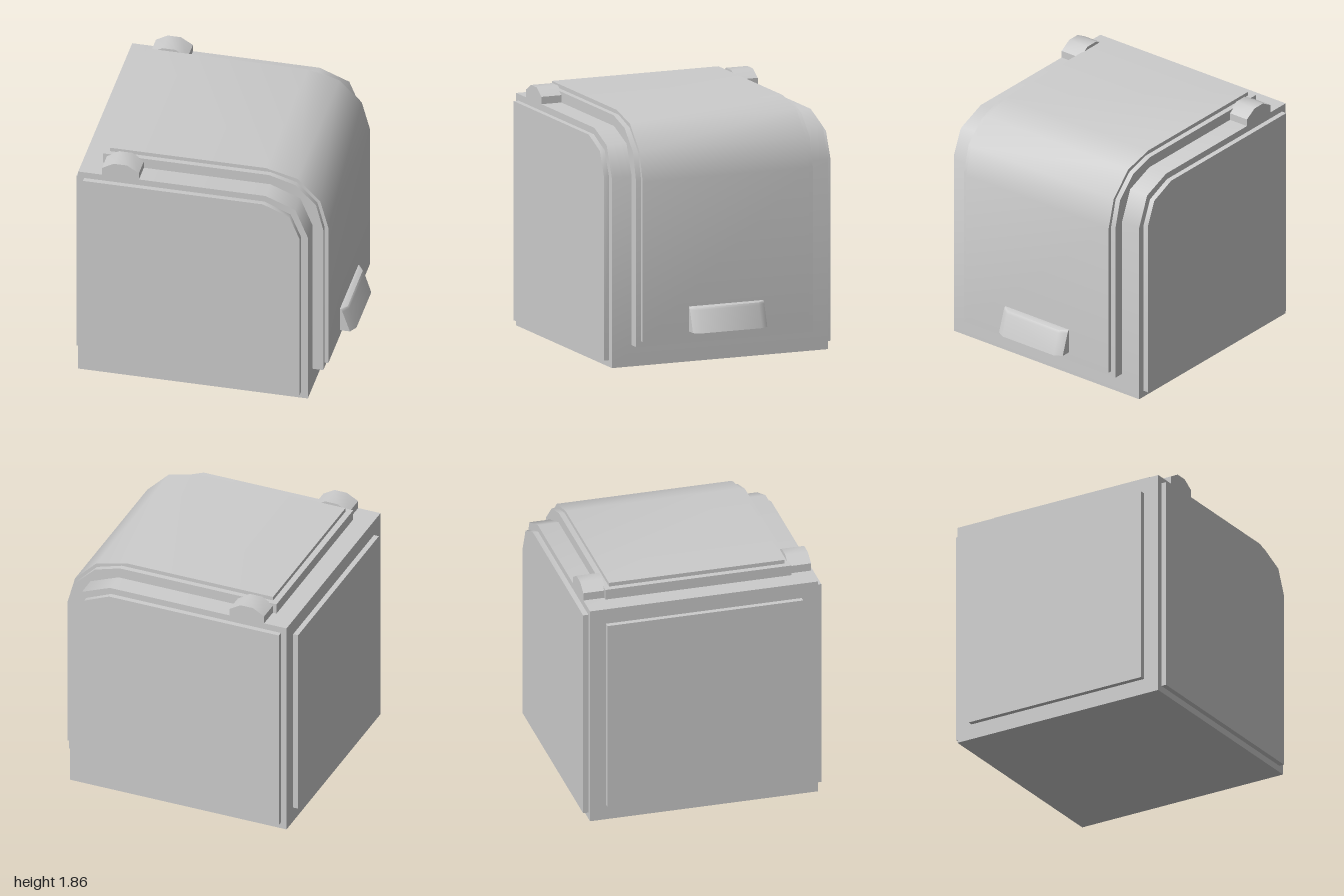
import * as THREE from 'three';
import { toCreasedNormals } from 'three/addons/utils/BufferGeometryUtils.js';

const grey = new THREE.MeshStandardMaterial({ color: 0xcccccc });

function addMesh(parent, name, geometry) {
  const mesh = new THREE.Mesh(geometry, grey);
  mesh.name = name;
  parent.add(mesh);
  return mesh;
}

// Extrudes an x-y outline between two z values, smoothing the rounded corner
function slab(points, z0, z1) {
  const shape = new THREE.Shape(points.map(([x, y]) => new THREE.Vector2(x, y)));
  const geometry = new THREE.ExtrudeGeometry(shape, { depth: z1 - z0, bevelEnabled: false });
  geometry.translate(0, 0, z0);
  return toCreasedNormals(geometry, 0.9);
}

// Square outline whose upper front corner follows the given points
function outline(back, bottom, corner) {
  const first = corner[0];
  const last = corner[corner.length - 1];
  return [[back, bottom], [last[0], bottom], ...[...corner].reverse(), [back, first[1]]];
}

// Joins equal horizontal rings, listed from bottom to top, and caps both ends
function loft(rings) {
  const n = rings[0].length;
  const index = [];
  for (let r = 0; r < rings.length - 1; r++) {
    for (let i = 0; i < n; i++) {
      const a = r * n + i, b = r * n + (i + 1) % n;
      index.push(a, b + n, b, a, a + n, b + n);
    }
  }
  const top = (rings.length - 1) * n;
  for (let i = 1; i < n - 1; i++) {
    index.push(0, i, i + 1, top, top + i + 1, top + i);
  }
  const geometry = new THREE.BufferGeometry();
  geometry.setAttribute('position', new THREE.Float32BufferAttribute(rings.flat(2), 3));
  geometry.setIndex(index);
  return toCreasedNormals(geometry, 0.7);
}

export function createModel() {
  const model = new THREE.Group();
  model.name = 'storageBox';

  // Main body
  addMesh(model, 'body', slab(
    outline(-0.96, 0, [[0.46, 1.75], [0.685, 1.66], [0.78, 1.43]]), -0.873, 0.873));

  // Wraparound lid in two steps
  addMesh(model, 'lidBase', slab(
    outline(-0.81, 0.16, [[0.45, 1.83], [0.65, 1.77], [0.805, 1.615], [0.86, 1.405]]), -0.713, 0.713));
  addMesh(model, 'lidPanel', slab(
    outline(-0.765, 0.2, [[0.415, 1.86], [0.655, 1.8], [0.828, 1.625], [0.888, 1.405]]), -0.672, 0.672));

  // Raised side panels and hinges, one pair on each side
  const sidePanel = outline(-0.915, 0.05, [[0.45, 1.7], [0.65, 1.615], [0.728, 1.43]]);
  const hinge = [[-0.78, 1.74], [-0.5, 1.74], [-0.5, 1.805], [-0.59, 1.86], [-0.69, 1.86], [-0.78, 1.81]];
  for (const [side, s] of [['front', 1], ['back', -1]]) {
    const span = (a, b) => (s > 0 ? [a, b] : [-b, -a]);
    addMesh(model, side + 'Panel', slab(sidePanel, ...span(0.86, 0.913)));
    addMesh(model, side + 'Hinge', slab(hinge, ...span(0.7, 0.873)));
  }

  // Panel on the hinge side
  const rear = addMesh(model, 'rearPanel', new THREE.BoxGeometry(0.06, 1.51, 1.5));
  rear.position.set(-0.97, 0.875, 0);

  // Handle flaring outward toward its lower edge, with chamfered ends
  const ring = (y, inner, outer, endZ) => [
    [0.88, y, -0.3], [inner, y, -0.3], [outer, y, -endZ],
    [outer, y, endZ], [inner, y, 0.3], [0.88, y, 0.3],
  ];
  addMesh(model, 'handle', loft([
    ring(0.25, 0.965, 1.0, 0.24),
    ring(0.415, 0.908, 0.947, 0.24),
    ring(0.432, 0.9, 0.935, 0.245),
    ring(0.437, 0.893, 0.915, 0.26),
  ]));

  return model;
}
